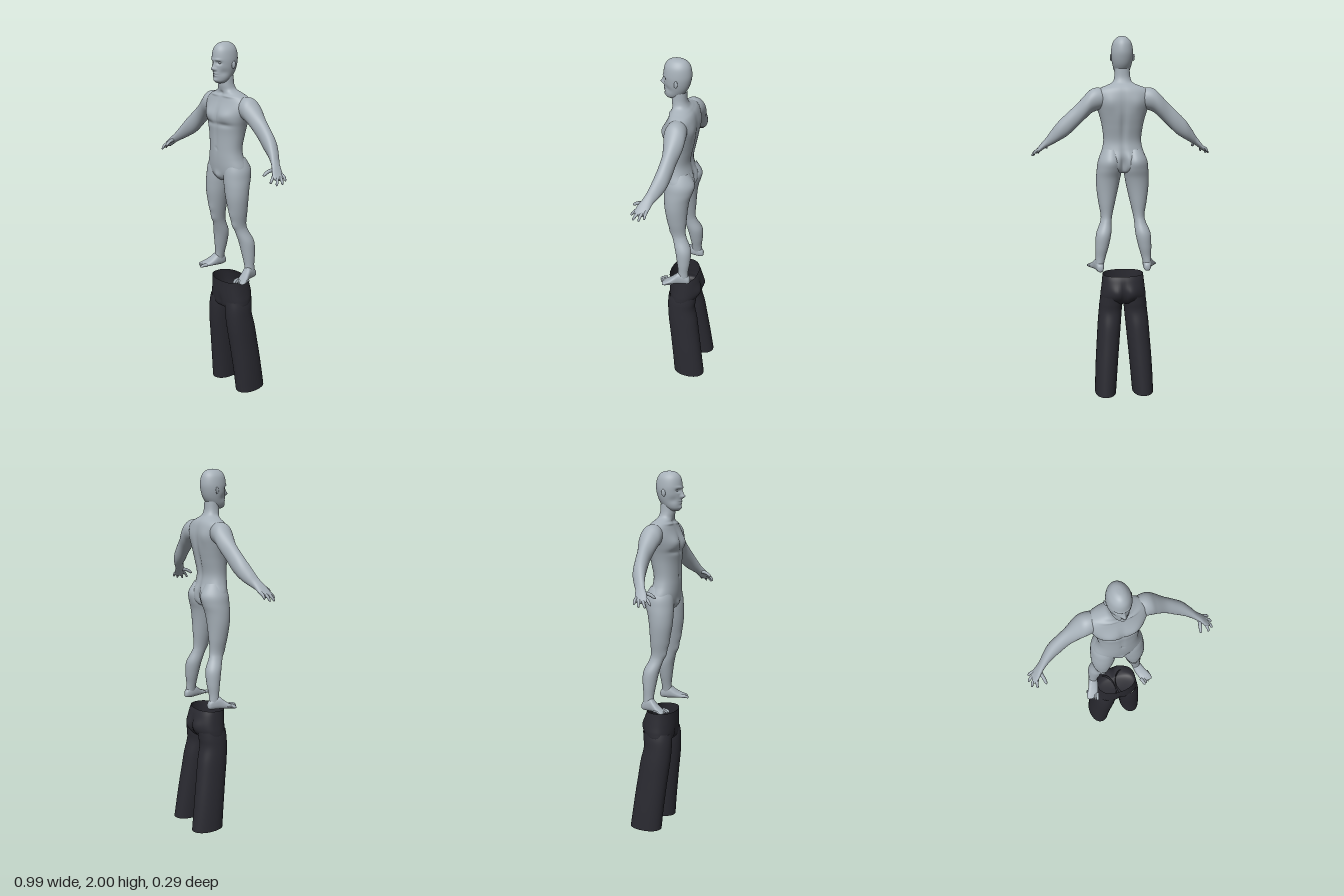
import * as THREE from 'three';
import { mergeVertices } from 'three/addons/utils/BufferGeometryUtils.js';

const skin = new THREE.MeshStandardMaterial({ color: 0xa6b0b8 });
skin.name = 'skin grey';
const cloth = new THREE.MeshStandardMaterial({ color: 0x2a2a31, side: THREE.DoubleSide });
cloth.name = 'charcoal cloth';

// Weld seams and poles, then smooth the normals
function finish(geo) {
  geo.deleteAttribute('uv');
  geo.deleteAttribute('normal');
  const welded = mergeVertices(geo, 1e-5);
  welded.computeVertexNormals();
  return welded;
}

// Catmull-Rom blend of whole rows
function sampleRow(rows, t) {
  const i = Math.min(Math.floor(t), rows.length - 2), f = t - i;
  const at = (k) => rows[Math.max(0, Math.min(rows.length - 1, k))];
  const [a, b, c, d] = [at(i - 1), at(i), at(i + 1), at(i + 2)];
  return b.map((_, k) => 0.5 * (2 * b[k] + (c[k] - a[k]) * f
    + (2 * a[k] - 5 * b[k] + 4 * c[k] - d[k]) * f * f
    + (3 * b[k] - a[k] - 3 * c[k] + d[k]) * f * f * f));
}

// Loft along an axis; a row is [position, uMin, uMax, vMin, vMax].
// A bump is [x, y, z, radiusX, radiusY, radiusZ, pushX, pushY, pushZ], mirrored when x > 0.
function loft(axis, rows, { sides = 40, steps = 6, power = 2, bumps = [] } = {}) {
  const pos = [], index = [], n = (rows.length - 1) * steps;
  const all = bumps.flatMap((b) => b[0] > 0
    ? [b, b.map((v, k) => (k === 0 || k === 6 ? -v : v))] : [b]);
  const round = (c) => Math.sign(c) * Math.abs(c) ** (2 / power);
  for (let i = 0; i <= n; i++) {
    const [w, u0, u1, v0, v1] = sampleRow(rows, i / steps);
    for (let j = 0; j < sides; j++) {
      const a = (j / sides) * Math.PI * 2;
      const u = (u0 + u1) / 2 + Math.max(0, (u1 - u0) / 2) * round(Math.cos(a));
      const v = (v0 + v1) / 2 + Math.max(0, (v1 - v0) / 2) * round(Math.sin(a));
      const p = axis === 'y' ? [u, w, v] : axis === 'x' ? [w, u, v] : [u, v, w];
      const q = p.slice();
      for (const b of all) {
        const d = [0, 1, 2].reduce((s, k) => s + ((p[k] - b[k]) / b[k + 3]) ** 2, 0);
        for (let k = 0; k < 3; k++) q[k] += b[k + 6] * Math.exp(-d);
      }
      pos.push(...q);
    }
  }
  const flip = (axis === 'y' ? -1 : 1) * (rows[rows.length - 1][0] - rows[0][0]) < 0;
  for (let i = 0; i < n; i++) for (let j = 0; j < sides; j++) {
    const a = i * sides + j, b = i * sides + (j + 1) % sides, c = a + sides, d = b + sides;
    if (flip) index.push(a, c, b, b, c, d);
    else index.push(a, b, c, b, d, c);
  }
  const geo = new THREE.BufferGeometry();
  geo.setAttribute('position', new THREE.Float32BufferAttribute(pos, 3));
  geo.setIndex(index);
  return finish(geo);
}

// Tapered tube with a rounded tip, for fingers and toes
function digit(points, radius) {
  const curve = new THREE.CatmullRomCurve3(points.map((p) => new THREE.Vector3(...p)));
  const n = 14, m = 10, geo = new THREE.TubeGeometry(curve, n, radius, m);
  const pos = geo.attributes.position, p = new THREE.Vector3();
  for (let i = 0; i <= n; i++) {
    const t = i / n, c = curve.getPointAt(t);
    const s = (1 - 0.3 * t) * Math.sqrt(Math.max(0, 1 - Math.max(0, (t - 0.75) / 0.25) ** 2));
    for (let j = 0; j <= m; j++) {
      const k = i * (m + 1) + j;
      p.fromBufferAttribute(pos, k).sub(c).multiplyScalar(s).add(c);
      pos.setXYZ(k, p.x, p.y, p.z);
    }
  }
  return finish(geo);
}

function mirror(geo) {
  const g = geo.clone().scale(-1, 1, 1), ix = g.index.array;
  for (let i = 0; i < ix.length; i += 3) [ix[i], ix[i + 1]] = [ix[i + 1], ix[i]];
  return g;
}

export function createModel() {
  const model = new THREE.Group();
  const figure = new THREE.Group(), trousers = new THREE.Group();
  figure.name = 'figure';
  trousers.name = 'trousers';
  model.add(figure, trousers);
  const add = (parent, name, geo, mat) => {
    const mesh = new THREE.Mesh(geo, mat);
    mesh.name = name;
    parent.add(mesh);
  };
  const pair = (parent, name, geo, mat) => {
    add(parent, 'left' + name, geo, mat);
    add(parent, 'right' + name, mirror(geo), mat);
  };
  const centred = (rows) => rows.map(([y, w, b, f]) => [y, -w, w, b, f]);

  // Head with brow, eye sockets, nose, lips and chin
  add(figure, 'head', loft('y', centred([
    [2.0, 0, 0.045, 0.045], [1.997, 0.018, 0.017, 0.072], [1.985, 0.036, -0.005, 0.095],
    [1.96, 0.052, -0.021, 0.111], [1.92, 0.059, -0.027, 0.117], [1.885, 0.058, -0.022, 0.114],
    [1.85, 0.052, -0.01, 0.113], [1.82, 0.043, 0.01, 0.111], [1.804, 0.034, 0.03, 0.107],
    [1.794, 0.02, 0.055, 0.096], [1.791, 0, 0.075, 0.075],
  ]), { sides: 80, steps: 9, bumps: [
    [0, 1.869, 0.115, 0.009, 0.011, 0.03, 0, 0, 0.02],
    [0, 1.888, 0.115, 0.007, 0.016, 0.03, 0, 0, 0.01],
    [0.011, 1.866, 0.112, 0.005, 0.006, 0.02, 0, 0, 0.006],
    [0.024, 1.899, 0.106, 0.014, 0.009, 0.03, 0, 0, -0.011],
    [0.022, 1.914, 0.11, 0.018, 0.006, 0.03, 0, 0, 0.005],
    [0, 1.845, 0.113, 0.015, 0.005, 0.03, 0, 0, 0.006],
    [0, 1.834, 0.113, 0.013, 0.005, 0.03, 0, 0, 0.005],
    [0, 1.839, 0.113, 0.018, 0.002, 0.03, 0, 0, -0.004],
    [0, 1.81, 0.11, 0.016, 0.01, 0.03, 0, 0, 0.006],
    [0.042, 1.85, 0.085, 0.015, 0.018, 0.03, -0.004, 0, -0.003],
  ] }), skin);
  pair(figure, 'Eye', new THREE.SphereGeometry(1, 20, 14).scale(0.009, 0.006, 0.007)
    .translate(0.024, 1.899, 0.096), skin);
  pair(figure, 'Ear', new THREE.SphereGeometry(1, 20, 14).scale(0.005, 0.019, 0.011)
    .rotateX(-0.15).rotateY(-0.35).translate(0.061, 1.888, 0.036), skin);

  // Neck, chest, waist and pelvis
  add(figure, 'torso', loft('y', centred([
    [1.83, 0.04, 0.0, 0.075], [1.785, 0.043, -0.003, 0.075], [1.758, 0.054, -0.014, 0.071],
    [1.742, 0.086, -0.03, 0.07], [1.725, 0.128, -0.044, 0.075], [1.7, 0.152, -0.053, 0.084],
    [1.66, 0.153, -0.059, 0.1], [1.61, 0.136, -0.058, 0.112], [1.57, 0.123, -0.053, 0.109],
    [1.52, 0.112, -0.043, 0.106], [1.45, 0.104, -0.03, 0.106], [1.4, 0.111, -0.036, 0.106],
    [1.35, 0.129, -0.053, 0.103], [1.31, 0.132, -0.052, 0.096], [1.28, 0.09, -0.035, 0.08],
    [1.268, 0.04, -0.01, 0.06], [1.265, 0, 0.02, 0.02],
  ]), { sides: 72, steps: 7, power: 2.2, bumps: [
    [0.062, 1.632, 0.1, 0.045, 0.03, 0.05, 0, 0, 0.012],
    [0, 1.63, 0.11, 0.011, 0.06, 0.05, 0, 0, -0.006],
    [0.06, 1.583, 0.105, 0.05, 0.012, 0.04, 0, 0, -0.006],
    [0.055, 1.728, 0.07, 0.04, 0.006, 0.03, 0, 0, 0.005],
    [0, 1.74, 0.07, 0.014, 0.012, 0.03, 0, 0, -0.007],
    [0, 1.5, 0.105, 0.01, 0.08, 0.04, 0, 0, -0.003],
    [0, 1.45, 0.105, 0.006, 0.006, 0.03, 0, 0, -0.005],
    [0, 1.53, -0.045, 0.016, 0.14, 0.04, 0, 0, 0.011],
    [0.075, 1.65, -0.055, 0.035, 0.045, 0.04, 0, 0, -0.007],
    [0, 1.32, -0.055, 0.014, 0.05, 0.04, 0, 0, 0.03],
    [0, 1.3, 0.085, 0.022, 0.022, 0.04, 0, 0, 0.012],
  ] }), skin);

  // Legs
  pair(figure, 'Leg', loft('y', [
    [1.4, 0.02, 0.105, -0.03, 0.08], [1.34, 0.003, 0.134, -0.056, 0.094],
    [1.29, 0.003, 0.142, -0.055, 0.098], [1.24, 0.012, 0.146, -0.041, 0.098],
    [1.18, 0.024, 0.145, -0.032, 0.094], [1.1, 0.042, 0.135, -0.026, 0.08],
    [1.03, 0.058, 0.123, -0.022, 0.062], [0.99, 0.064, 0.128, -0.032, 0.048],
    [0.93, 0.068, 0.152, -0.058, 0.03], [0.86, 0.083, 0.157, -0.058, 0.017],
    [0.8, 0.1, 0.156, -0.05, 0.008], [0.76, 0.11, 0.157, -0.05, 0.008],
    [0.73, 0.114, 0.156, -0.05, 0.008],
  ], { sides: 48, bumps: [
    [0.068, 1.335, -0.05, 0.04, 0.04, 0.04, 0, 0, -0.008],
    [0.092, 1.03, 0.058, 0.02, 0.022, 0.03, 0, 0, 0.006],
    [0.085, 1.09, 0.07, 0.02, 0.025, 0.03, 0, 0, 0.004],
  ] }), skin);

  // Feet turned outward, with five toes each
  pair(figure, 'Foot', loft('z', [
    [-0.062, 0.132, 0.132, 0.735, 0.735], [-0.056, 0.117, 0.148, 0.719, 0.757],
    [-0.03, 0.111, 0.157, 0.715, 0.78], [0.0, 0.112, 0.166, 0.715, 0.786],
    [0.022, 0.116, 0.176, 0.716, 0.768], [0.045, 0.124, 0.189, 0.716, 0.75],
    [0.07, 0.136, 0.199, 0.716, 0.737], [0.084, 0.145, 0.195, 0.717, 0.732],
    [0.088, 0.17, 0.17, 0.724, 0.724],
  ], { power: 2.4 }), skin);
  for (let i = 0; i < 5; i++) {
    const x = 0.144 + i * 0.0125, z = 0.108 - 0.0015 * i * i - 0.003 * i;
    const r = i ? 0.0075 - i * 0.0005 : 0.0105;
    pair(figure, 'Toe' + (i + 1), digit([
      [x - 0.008, 0.729, z - 0.04], [x - 0.002, 0.73, z - 0.018], [x + 0.004, 0.722, z],
    ], r), skin);
  }

  // Arms from shoulder to palm
  pair(figure, 'Arm', loft('x', [
    [0.08, 1.625, 1.72, -0.03, 0.05], [0.13, 1.612, 1.73, -0.043, 0.062],
    [0.167, 1.598, 1.724, -0.047, 0.064], [0.2, 1.57, 1.696, -0.045, 0.056],
    [0.25, 1.522, 1.643, -0.03, 0.046], [0.3, 1.476, 1.597, -0.022, 0.05],
    [0.35, 1.445, 1.548, -0.01, 0.06], [0.39, 1.422, 1.496, 0.015, 0.074],
    [0.415, 1.407, 1.46, 0.034, 0.088], [0.44, 1.389, 1.43, 0.044, 0.108],
    [0.46, 1.375, 1.405, 0.051, 0.117], [0.472, 1.372, 1.39, 0.06, 0.112],
    [0.475, 1.379, 1.379, 0.085, 0.085],
  ], { sides: 40 }), skin);

  // Fingers, each from knuckle to tip
  const fingers = {
    LittleFinger: [[0.452, 1.398, 0.058], [0.473, 1.388, 0.058], [0.487, 1.367, 0.059]],
    RingFinger: [[0.458, 1.393, 0.075], [0.481, 1.379, 0.081], [0.495, 1.356, 0.087]],
    MiddleFinger: [[0.458, 1.391, 0.092], [0.477, 1.377, 0.106], [0.487, 1.353, 0.119]],
    IndexFinger: [[0.448, 1.398, 0.102], [0.457, 1.385, 0.121], [0.46, 1.362, 0.137]],
    Thumb: [[0.425, 1.418, 0.082], [0.417, 1.411, 0.114], [0.412, 1.391, 0.143]],
  };
  for (const [name, path] of Object.entries(fingers)) {
    pair(figure, name, digit(path, name === 'Thumb' ? 0.0105 : 0.0085), skin);
  }

  // Trouser seat, open at the waist
  add(trousers, 'trouserSeat', loft('y', centred([
    [0.69, 0.115, -0.068, 0.092], [0.66, 0.118, -0.08, 0.092], [0.61, 0.124, -0.09, 0.092],
    [0.57, 0.129, -0.086, 0.09], [0.54, 0.126, -0.068, 0.085], [0.525, 0.09, -0.045, 0.07],
    [0.518, 0, 0.01, 0.01],
  ]), { sides: 64, power: 2.3, bumps: [
    [0.045, 0.595, -0.088, 0.035, 0.04, 0.04, 0, 0, -0.012],
    [0, 0.58, -0.09, 0.012, 0.06, 0.04, 0, 0, 0.014],
    [0, 0.56, 0.09, 0.014, 0.04, 0.04, 0, 0, -0.008],
  ] }), cloth);

  // Trouser legs, open at the hems
  pair(trousers, 'TrouserLeg', loft('y', [
    [0.57, 0.006, 0.125, -0.08, 0.084], [0.53, 0.003, 0.133, -0.076, 0.088],
    [0.48, 0.007, 0.138, -0.072, 0.088], [0.4, 0.014, 0.146, -0.089, 0.083],
    [0.3, 0.023, 0.153, -0.103, 0.071], [0.2, 0.032, 0.16, -0.117, 0.06],
    [0.1, 0.04, 0.165, -0.13, 0.05], [0, 0.048, 0.168, -0.143, 0.042],
  ], { sides: 48, power: 2.15 }), cloth);

  return model;
}
